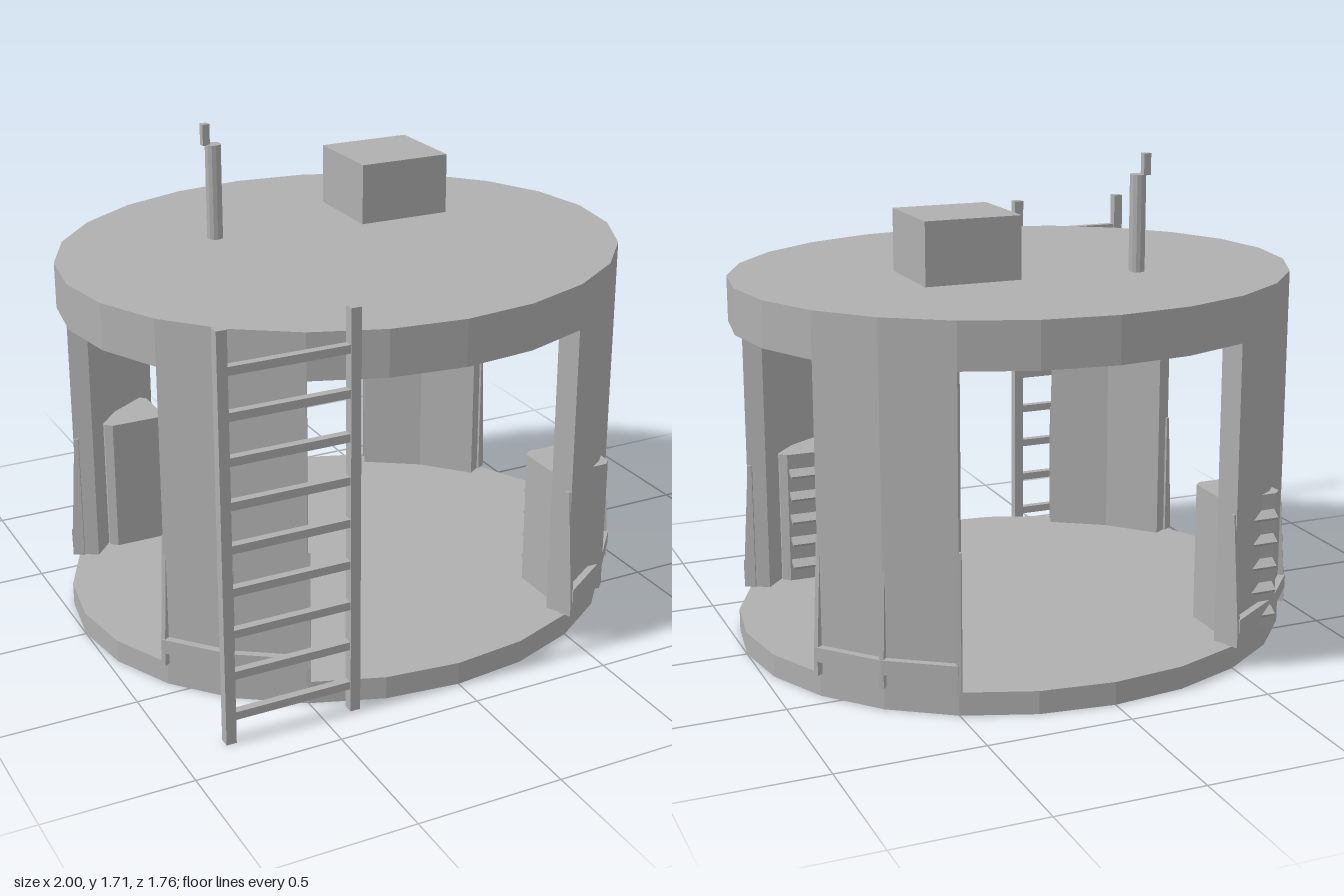
import * as THREE from 'three';

export function createModel() {
  const model = new THREE.Group();
  const grey = new THREE.MeshStandardMaterial({ color: 0xb0b0b0 });
  grey.name = 'plain grey';

  const add = (geometry, name, parent = model) => {
    const mesh = new THREE.Mesh(geometry, grey);
    mesh.name = name;
    parent.add(mesh);
    return mesh;
  };
  // Box given by its limits
  const box = (name, x0, x1, y0, y1, z0, z1, parent) => {
    const g = new THREE.BoxGeometry(x1 - x0, y1 - y0, z1 - z0);
    g.translate((x0 + x1) / 2, (y0 + y1) / 2, (z0 + z1) / 2);
    return add(g, name, parent);
  };
  // Points on an oval, in steps of 15 degrees
  const arc = (a, b, from, to) => {
    const pts = [];
    for (let i = from; i <= to; i++) {
      const t = (i * Math.PI) / 12;
      pts.push(new THREE.Vector2(a * Math.cos(t), -b * Math.sin(t)));
    }
    return pts;
  };
  // Upright prism over a plan outline
  const prism = (name, points, y0, y1, hole, parent) => {
    const shape = new THREE.Shape(points);
    if (hole) shape.holes.push(new THREE.Path(hole));
    const g = new THREE.ExtrudeGeometry(shape, { depth: y1 - y0, bevelEnabled: false });
    g.rotateX(-Math.PI / 2);
    g.translate(0, y0, 0);
    return add(g, name, parent);
  };

  const A = 1, B = 0.88, IA = 0.93, IB = 0.8;
  const oval = arc(A, B, 0, 23);

  // Floor, roof and the ring under the roof
  prism('floorSlab', oval, 0, 0.08);
  prism('roofSlab', oval, 1.22, 1.3);
  prism('roofRing', oval, 1.14, 1.22, arc(IA, IB, 0, 23));

  // Four curved wall piers, each with a skirting band and three small fins
  for (let q = 0; q < 4; q++) {
    const pier = new THREE.Group();
    pier.name = 'wallPier';
    model.add(pier);
    const s = q * 6 + 2, e = s + 2;
    prism('wall', [...arc(A, B, s, e), ...arc(IA, IB, s, e).reverse()], 0.08, 1.14, null, pier);
    prism('band', [...arc(1.025, 0.905, s, e), ...arc(0.99, 0.87, s, e).reverse()], 0.13, 0.18, null, pier);
    for (let i = s; i <= e; i++) {
      const t = (i * Math.PI) / 12;
      const profile = new THREE.Shape([
        new THREE.Vector2(-0.02, 0.08), new THREE.Vector2(0.022, 0.08),
        new THREE.Vector2(0.022, 0.14), new THREE.Vector2(-0.005, 0.55), new THREE.Vector2(-0.02, 0.55),
      ]);
      const g = new THREE.ExtrudeGeometry(profile, { depth: 0.016, bevelEnabled: false });
      g.translate(0, 0, -0.008);
      const fin = add(g, 'fin', pier);
      fin.position.set(A * Math.cos(t), 0, B * Math.sin(t));
      fin.rotation.y = Math.atan2(-Math.sin(t) / B, Math.cos(t) / A);
    }
  }

  // Two cabinets set into opposite piers, slats facing the back
  for (const [x, z] of [[0.622, 0.548], [-0.622, -0.548]]) {
    const cabinet = new THREE.Group();
    cabinet.name = 'cabinet';
    cabinet.position.set(x, 0, z);
    model.add(cabinet);
    const w = 0.115, d = 0.108, c = 0.024;
    const outline = [
      [w, d - c], [w - c, d], [-w + c, d], [-w, d - c],
      [-w, -d + c], [-w + c, -d], [w - c, -d], [w, -d + c],
    ].map(([px, pz]) => new THREE.Vector2(px, -pz));
    prism('cabinetBody', outline, 0.08, 0.57, null, cabinet);
    for (let i = 0; i < 5; i++) {
      const slat = add(new THREE.BoxGeometry(0.17, 0.012, 0.05), 'slat', cabinet);
      slat.position.set(0, 0.15 + i * 0.088, -d - 0.008);
      slat.rotation.x = -0.6;
    }
  }

  // Tall ladder at the front
  const ladder = new THREE.Group();
  ladder.name = 'ladder';
  model.add(ladder);
  box('rail', -0.84, -0.805, 0, 1.395, 0.832, 0.868, ladder);
  box('rail', -0.4, -0.365, 0, 1.395, 0.832, 0.868, ladder);
  for (let i = 0; i < 9; i++) {
    const y = 0.095 + i * 0.146;
    box('rung', -0.81, -0.395, y - 0.014, y + 0.014, 0.836, 0.864, ladder);
  }

  // Roof unit and pipe with its tip
  box('roofUnit', 0.122, 0.46, 1.33, 1.545, -0.378, -0.063);
  const pipe = new THREE.CylinderGeometry(0.028, 0.028, 0.34, 12).toNonIndexed();
  pipe.computeVertexNormals();
  add(pipe, 'roofPipe').position.set(-0.369, 1.468, -0.243);
  box('pipeTip', -0.407, -0.381, 1.635, 1.71, -0.265, -0.239);

  return model;
}
